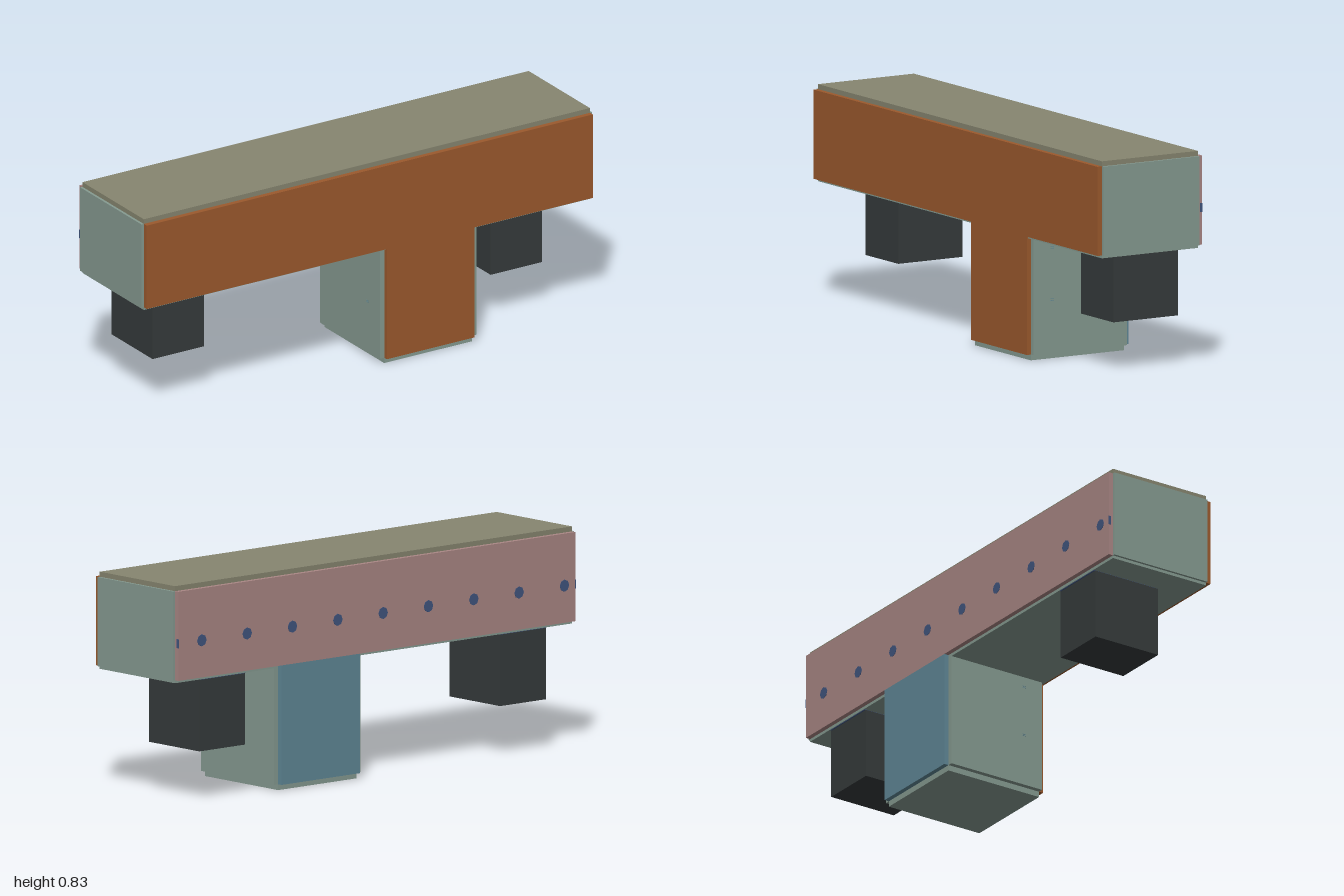
import * as THREE from 'three';

const mat = (name, color) => {
  const m = new THREE.MeshStandardMaterial({ color });
  m.name = name;
  return m;
};

export function createModel() {
  const orange = mat('rust orange', 0x9c5a2d);
  const sage = mat('sage green', 0x869b91);
  const olive = mat('olive', 0x878670);
  const pink = mat('dusty pink', 0xaa8785);
  const blue = mat('steel blue', 0x608897);
  const dark = mat('charcoal', 0x363b3c);
  const navy = mat('navy', 0x40557f);

  const model = new THREE.Group();
  model.name = 'cabinet';

  // Box given by its lower and upper limits on each axis
  const slab = (parent, name, material, [x0, x1], [y0, y1], [z0, z1]) => {
    const mesh = new THREE.Mesh(new THREE.BoxGeometry(x1 - x0, y1 - y0, z1 - z0), material);
    mesh.position.set((x0 + x1) / 2, (y0 + y1) / 2, (z0 + z1) / 2);
    mesh.name = name;
    parent.add(mesh);
  };
  const group = (name) => {
    const g = new THREE.Group();
    g.name = name;
    model.add(g);
    return g;
  };

  // Long upper beam, made of a panel on each face with open corners
  const beam = group('beam');
  const bx = [-0.99, 0.99], by = [0.475, 0.813], bz = [-0.212, 0.212];
  slab(beam, 'beamFront', orange, bx, by, [0.212, 0.232]);
  slab(beam, 'beamBack', pink, bx, by, [-0.231, -0.212]);
  slab(beam, 'beamTop', olive, bx, [0.813, 0.832], bz);
  slab(beam, 'beamBottom', sage, bx, [0.464, 0.475], bz);
  slab(beam, 'beamRightEnd', sage, [-1, -0.99], by, bz);
  slab(beam, 'beamLeftEnd', sage, [0.99, 1], by, bz);

  // Row of round studs along the back
  const studs = group('backStuds');
  for (let i = 0; i < 9; i++) {
    const stud = new THREE.Mesh(new THREE.CylinderGeometry(0.023, 0.023, 0.008, 8), navy);
    stud.rotation.x = Math.PI / 2;
    stud.position.set(-0.935 + i * 0.226, 0.616, -0.2285);
    stud.name = 'stud';
    studs.add(stud);
  }
  for (const s of [-0.99, 0.99])
    slab(studs, 'endStud', navy, [s - 0.002, s + 0.002], [0.599, 0.633], [-0.2315, -0.222]);

  // Lower pedestal box
  const box = group('pedestal');
  const px = [0.085, 0.475], py = [0.022, 0.475], pz = [-0.212, 0.2];
  slab(box, 'pedestalFront', orange, px, py, [0.2, 0.218]);
  slab(box, 'pedestalBack', blue, px, py, [-0.231, -0.212]);
  slab(box, 'pedestalBottom', sage, px, [0, 0.022], pz);
  slab(box, 'pedestalRightSide', sage, [0.065, 0.085], py, pz);
  slab(box, 'pedestalLeftSide', sage, [0.475, 0.495], py, pz);

  // Small marks on the pedestal sides
  for (const x of [0.065, 0.495])
    for (const y of [0.226, 0.424])
      for (const dy of [-0.003, 0.003])
        slab(box, 'sideMark', blue, [x - 0.001, x + 0.001], [y + dy - 0.001, y + dy + 0.001], [0.11, 0.126]);

  // Hanging blocks with thin mounting plates
  for (const x of [-0.752, 0.748]) {
    const block = group('hangingBlock');
    slab(block, 'block', dark, [x - 0.114, x + 0.114], [0.19, 0.462], [-0.205, 0.08]);
    slab(block, 'mountingPlate', navy, [x - 0.112, x + 0.112], [0.462, 0.465], [-0.21, 0.078]);
  }

  return model;
}
